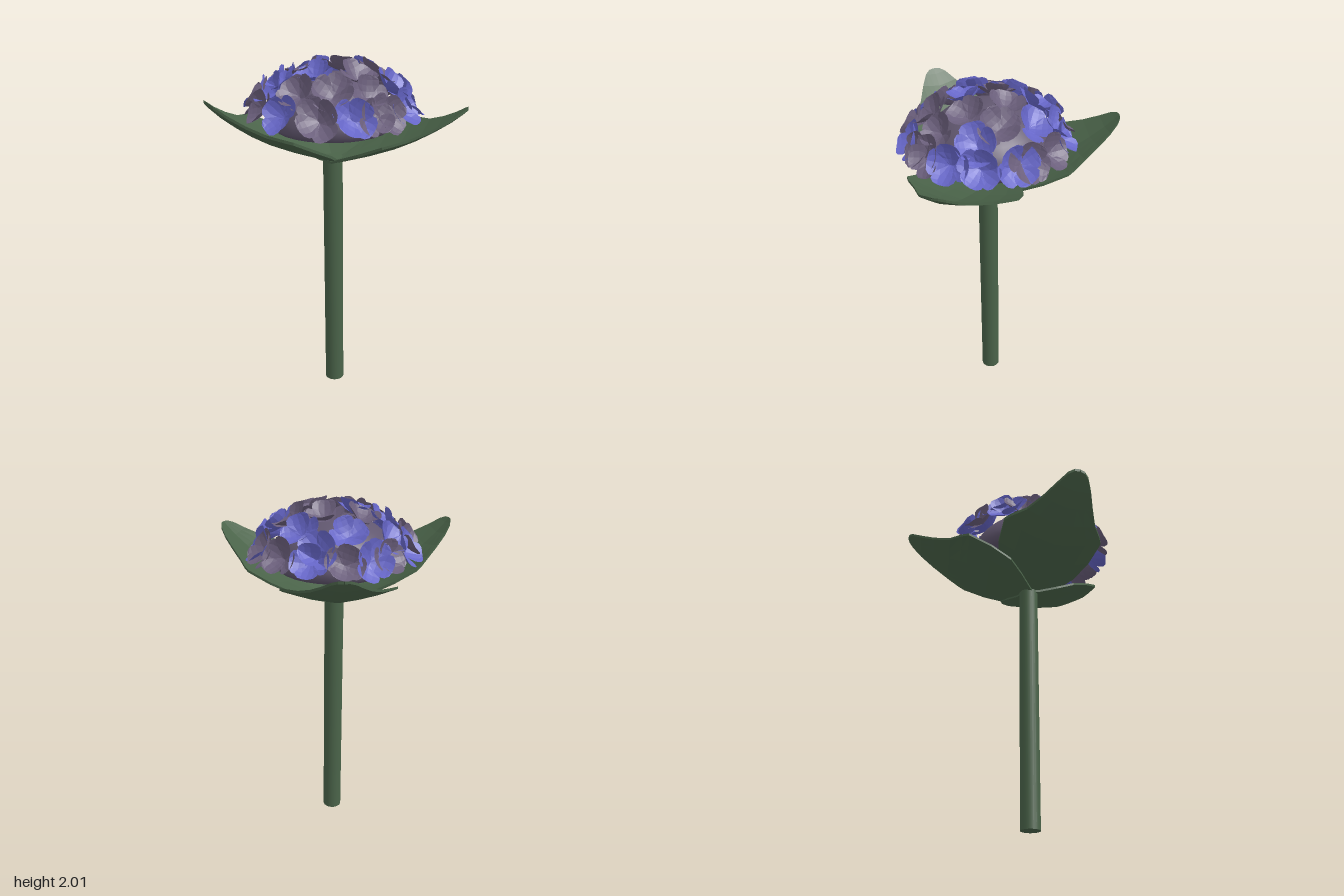
import * as THREE from 'three';
import { mergeGeometries } from 'three/addons/utils/BufferGeometryUtils.js';

const CX = -0.07, CZ = 0.11; // stem axis

const paint = (color, extra = {}) => new THREE.MeshStandardMaterial({ color, ...extra });

// Skin a list of equal-length rows of [x, y, z] points
function loft(rows, closed) {
  const n = rows[0].length, index = [];
  for (let i = 0; i < rows.length - 1; i++) {
    for (let j = 0; j < (closed ? n : n - 1); j++) {
      const k = (j + 1) % n, a = i * n + j, b = i * n + k;
      index.push(a, b, a + n, b, b + n, a + n);
    }
  }
  const g = new THREE.BufferGeometry();
  g.setAttribute('position', new THREE.Float32BufferAttribute(rows.flat(2), 3));
  g.setIndex(index);
  g.computeVertexNormals();
  return g;
}

// Broad pointed leaf with upturned edges; stations are [distance, height, half width]
function leafGeometry() {
  const stations = [
    [-0.03, 0, 0.03], [0, 0, 0.075], [0.06, 0.015, 0.165], [0.13, 0.036, 0.245],
    [0.25, 0.074, 0.292], [0.38, 0.124, 0.308], [0.42, 0.143, 0.28], [0.49, 0.178, 0.215],
    [0.58, 0.232, 0.155], [0.66, 0.287, 0.105], [0.715, 0.333, 0.062], [0.735, 0.352, 0.03],
    [0.74, 0.357, 0.002],
  ];
  const N = 6, t = 0.014;
  return loft(stations.map(([u, y, w]) => {
    const top = [], under = [];
    for (let j = 0; j <= N; j++) {
      const v = w * (2 * j / N - 1), h = y + 0.12 * Math.abs(v) + 0.4 * v * v;
      top.push([u, h + t, v]);
      under.unshift([u, h, v]);
    }
    return [...top, ...under];
  }), true);
}

// Four broad, overlapping, cupped petals; alternate ones stand steeper
function floretGeometry() {
  const stations = [[0, 0, 0.01], [0.03, 0.006, 0.042], [0.06, 0.016, 0.063],
    [0.085, 0.028, 0.06], [0.102, 0.038, 0.042], [0.108, 0.042, 0.016]];
  const petals = [];
  for (let k = 0; k < 4; k++) {
    const rows = stations.map(([u, y, w]) => [-1, -0.5, 0, 0.5, 1].map(
      (s) => [u, y + 5 * (s * w) ** 2, s * w]));
    petals.push(loft(rows, false).rotateZ(k % 2 ? 0.25 : 0).rotateY(k * Math.PI / 2));
  }
  return mergeGeometries(petals);
}

export function createModel() {
  const model = new THREE.Group();
  const green = paint(0x4a6349, { flatShading: true, side: THREE.DoubleSide });

  // Stem
  const stem = new THREE.Mesh(new THREE.CylinderGeometry(0.055, 0.055, 1.45, 24), paint(0x4a6349));
  stem.name = 'stem';
  stem.position.set(CX, 0.725, CZ);
  model.add(stem);

  // Three leaves: [angle in degrees, length, rise, base height]
  const leafShape = leafGeometry();
  [[11, 1, 1, 1.42], [144, 0.955, 1.13, 1.424], [251, 1, 0.99, 1.422]].forEach(
    ([angle, length, rise, y], i) => {
      const leaf = new THREE.Mesh(leafShape, green);
      leaf.name = 'leaf' + (i + 1);
      leaf.position.set(CX, y, CZ);
      leaf.rotation.y = -THREE.MathUtils.degToRad(angle);
      leaf.scale.set(length, rise, 1);
      model.add(leaf);
    });

  // Domed core with a flat underside
  const dome = [[0, 0], [0.32, 0], [0.35, 0.03]];
  for (let i = 1; i <= 10; i++) {
    const a = i / 10 * Math.PI / 2;
    dome.push([i === 10 ? 0 : 0.35 * Math.cos(a), 0.03 + 0.265 * Math.sin(a)]);
  }
  const core = new THREE.Mesh(
    new THREE.LatheGeometry(dome.map(([r, y]) => new THREE.Vector2(r, y)), 28), paint(0x61576f));
  core.name = 'flowerCore';
  core.position.set(CX, 1.625, CZ);
  model.add(core);

  // Florets over the dome, placed by [x, z]
  const blue = [[-0.05, -0.32], [-0.08, -0.23], [-0.34, -0.17], [-0.2, -0.11], [0.04, -0.13],
    [0.26, -0.09], [-0.38, 0.02], [0.36, 0.08], [0.23, 0.11], [-0.14, 0.23], [-0.34, 0.26],
    [0.32, 0.24], [-0.27, 0.47], [0.1, 0.47], [-0.45, 0.08], [-0.3, 0.18]];
  const mauve = [[-0.23, -0.27], [0.12, -0.25], [0.26, -0.16], [-0.43, -0.11], [-0.04, 0.01],
    [0.13, 0.02], [-0.22, 0.09], [0.07, 0.18], [-0.44, 0.16], [-0.4, 0.34], [-0.19, 0.37],
    [-0.02, 0.38], [0.14, 0.31], [0.25, 0.36], [-0.07, 0.5], [0.19, 0.41]];
  const floretShape = floretGeometry();
  const florets = new THREE.Group();
  florets.name = 'florets';
  const R = 0.44, H = 0.32, up = new THREE.Vector3(0, 1, 0);
  const addFlorets = (spots, color, name) => {
    const material = paint(color, { flatShading: true, side: THREE.DoubleSide });
    spots.forEach(([x, z], i) => {
      let dx = x - CX, dz = z - CZ;
      const fit = Math.min(1, 0.385 / Math.hypot(dx, dz));
      dx *= fit;
      dz *= fit;
      const h = H * Math.sqrt(1 - (dx * dx + dz * dz) / (R * R));
      const normal = new THREE.Vector3(dx, h + 0.06, dz).normalize();
      const floret = new THREE.Mesh(floretShape, material);
      floret.name = name + (i + 1);
      floret.position.set(CX + dx, 1.597 + h, CZ + dz);
      floret.quaternion.setFromUnitVectors(up, normal);
      floret.rotateY(i * 2.4);
      floret.scale.setScalar(1 + 0.05 * (i % 3));
      florets.add(floret);
    });
  };
  addFlorets(blue, 0x6666c8, 'blueFloret');
  addFlorets(mauve, 0x6b5f7c, 'mauveFloret');
  model.add(florets);

  return model;
}
